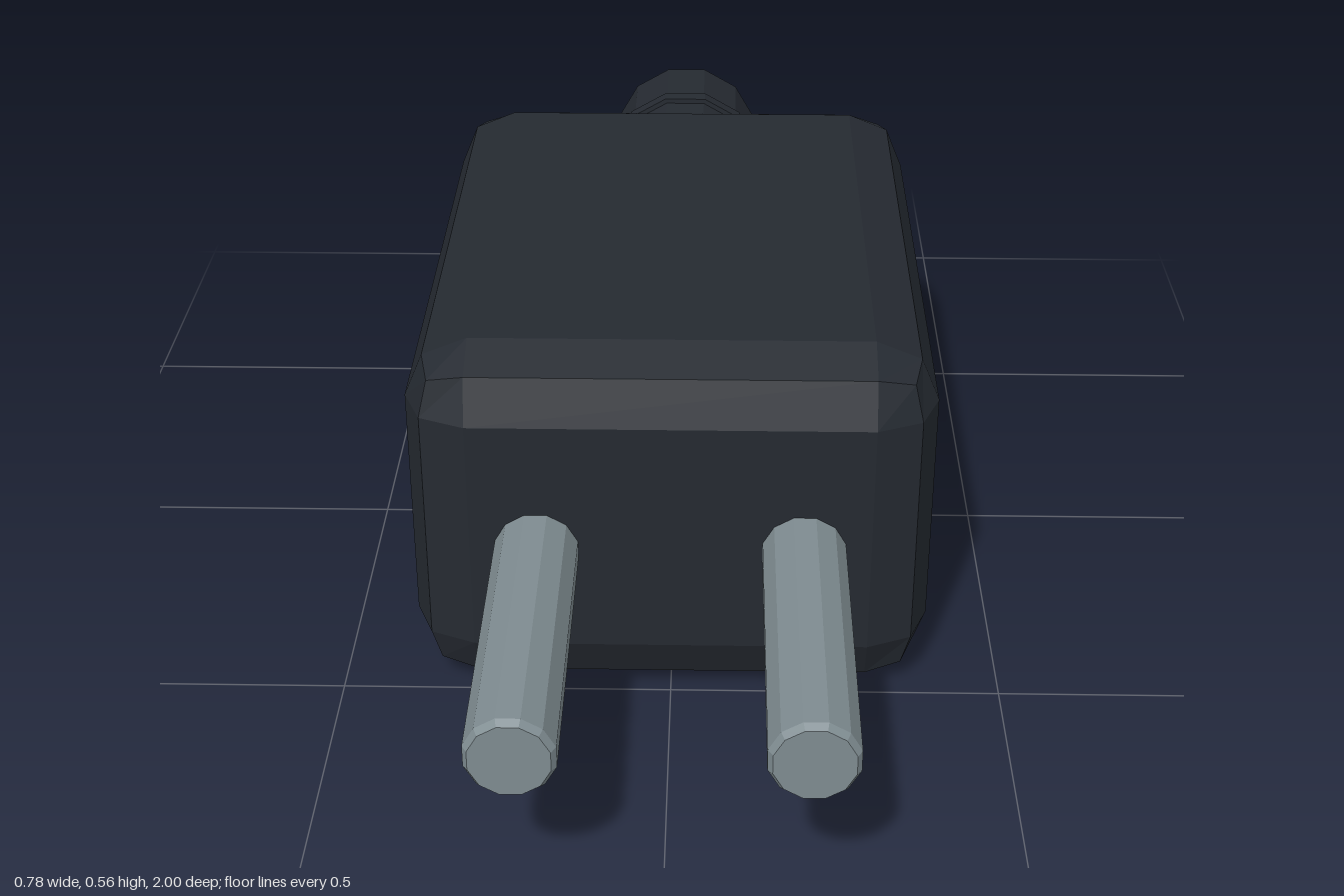
import * as THREE from 'three';
import { RoundedBoxGeometry } from 'three/addons/geometries/RoundedBoxGeometry.js';

const SIDES = 12;

// Twelve-sided solid along z, from [radius, z] pairs listed back to front
function turned(profile) {
  const points = profile.map(([r, z]) => new THREE.Vector2(r, z));
  const geometry = new THREE.LatheGeometry(points, SIDES, Math.PI / SIDES);
  return geometry.rotateX(Math.PI / 2);
}

export function createModel() {
  const group = new THREE.Group();
  const plastic = new THREE.MeshStandardMaterial({ color: 0x252a31, flatShading: true });
  const metal = new THREE.MeshStandardMaterial({ color: 0x7f8c91, flatShading: true });

  const add = (name, geometry, material, x, y, z) => {
    const mesh = new THREE.Mesh(geometry, material);
    mesh.name = name;
    mesh.position.set(x, y, z);
    group.add(mesh);
  };

  // Housing with two-step bevels on every edge
  add('plugBody', new RoundedBoxGeometry(0.78, 0.565, 1.03, 1, 0.095), plastic, 0, 0.2825, 0);

  // Two round pins with a small bevel at the tip
  const pin = turned([[0, 0.48], [0.063, 0.48], [0.063, 0.99], [0.056, 1], [0, 1]]);
  add('leftPin', pin, metal, 0.196, 0.263, 0);
  add('rightPin', pin, metal, -0.196, 0.263, 0);

  // Cable sleeve at the back
  const sleeve = turned([[0, -1], [0.133, -1], [0.14, -0.993], [0.14, -0.48], [0, -0.48]]);
  add('cableSleeve', sleeve, plastic, 0, 0.287, 0);

  // Thin grip rings around the sleeve
  const ring = turned([[0.13, -0.015], [0.149, -0.015], [0.149, 0.015], [0.13, 0.015]]);
  [-0.59, -0.71, -0.83].forEach((z, i) => add(`gripRing${i + 1}`, ring, plastic, 0, 0.287, z));

  return group;
}
